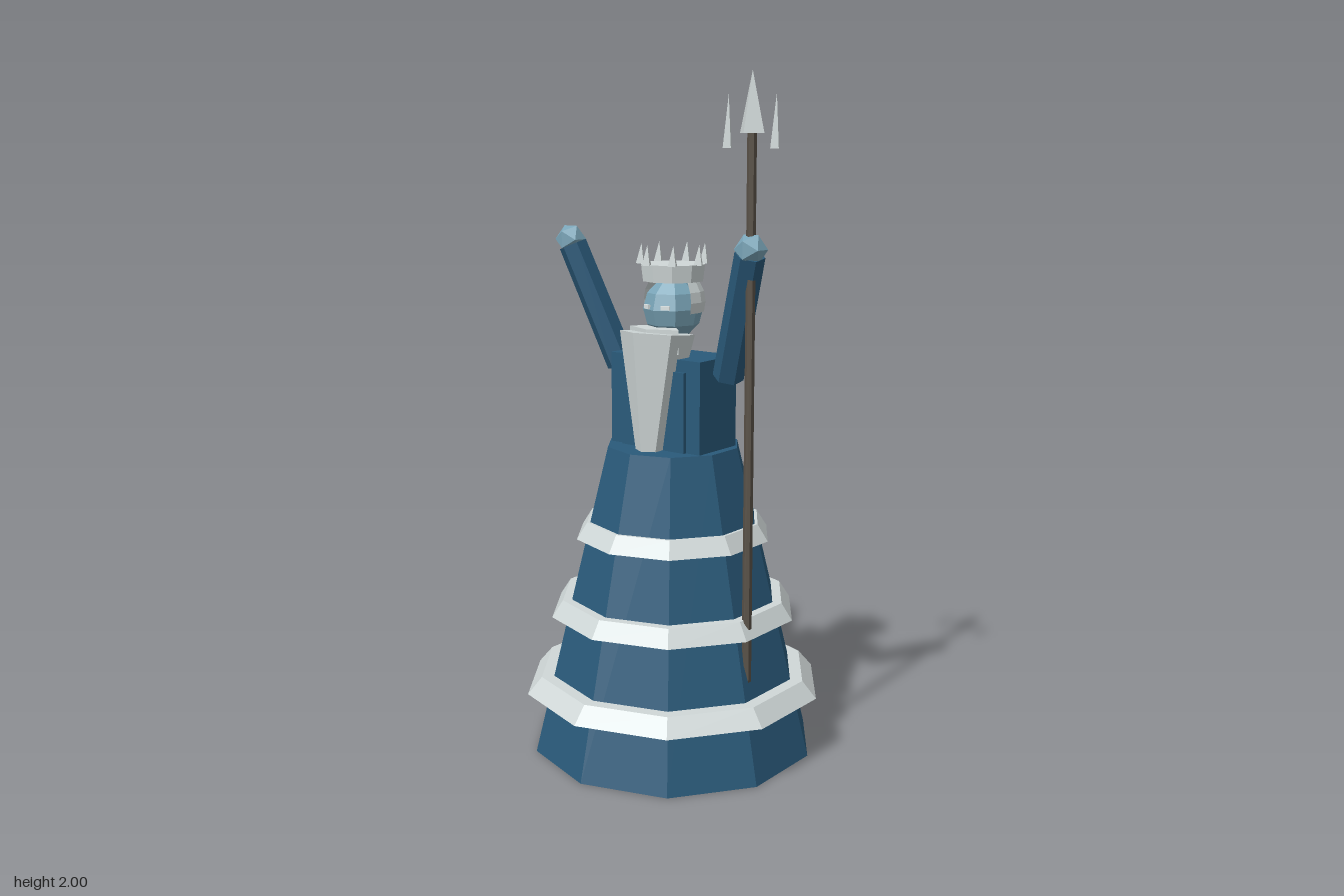
import * as THREE from 'three';

const mat = (name, color, extra = {}) =>
  Object.assign(new THREE.MeshStandardMaterial({ color, flatShading: true, ...extra }), { name });

export function createModel() {
  const model = new THREE.Group();
  model.name = 'seaKing';
  const robe = mat('deep sea blue', 0x2a5a7a);
  const skin = mat('pale blue skin', 0x7aa5b8);
  const foam = mat('foam grey', 0xd0d8d8, { side: THREE.DoubleSide });
  const wood = mat('dark shaft', 0x5a5248);
  const eyeWhite = mat('eye white', 0xe8f0f0);

  const add = (name, geo, material, x = 0, y = 0, z = 0, parent = model) => {
    const m = new THREE.Mesh(geo, material);
    m.name = name;
    m.position.set(x, y, z);
    parent.add(m);
    return m;
  };

  // Faceted tapered rod between two points
  const rod = (name, a, b, ra, rb, sides, material) => {
    const from = new THREE.Vector3(...a), to = new THREE.Vector3(...b);
    const dir = to.clone().sub(from);
    const m = add(name, new THREE.CylinderGeometry(rb, ra, dir.length(), sides), material);
    m.position.copy(from).add(to).multiplyScalar(0.5);
    m.quaternion.setFromUnitVectors(new THREE.Vector3(0, 1, 0), dir.normalize());
    return m;
  };

  // Wide ten-sided skirt with three foam rings
  add('skirt', new THREE.CylinderGeometry(0.2, 0.43, 0.93, 10), robe, 0, 0.465, 0);
  for (const [y, top, bottom] of [[0.21, 0.41, 0.453], [0.445, 0.342, 0.375], [0.68, 0.265, 0.297]]) {
    add('foamRing', new THREE.CylinderGeometry(top, bottom, 0.05, 10), foam, 0, y, 0);
  }

  // Torso with a raised front panel
  add('torso', new THREE.BoxGeometry(0.33, 0.28, 0.175), robe, 0, 1.06, 0);
  add('chestPanel', new THREE.BoxGeometry(0.23, 0.235, 0.012), robe, 0, 1.0475, 0.092);

  // Head, eyes and hair wrapped round the back
  add('neck', new THREE.CylinderGeometry(0.045, 0.045, 0.1, 8), skin, 0, 1.23, 0);
  const head = add('head', new THREE.SphereGeometry(0.085, 8, 6), skin, 0, 1.335, 0);
  head.scale.set(1, 1.08, 1.1);
  for (const side of [-1, 1]) {
    const eye = add('eye', new THREE.BoxGeometry(0.026, 0.012, 0.009), eyeWhite, side * 0.033, 1.343, 0.079);
    eye.rotation.y = side * 0.43;
  }
  const hair = new THREE.SphereGeometry(0.098, 8, 4, Math.PI - 0.3, Math.PI + 0.6, 0.2 * Math.PI, 0.4 * Math.PI);
  add('hair', hair, foam, 0, 1.355, 0).scale.x = 0.94;

  // Long tapering beard and the whiskers along the jaw
  rod('beard', [0, 0.85, 0.117], [0, 1.27, 0.075], 0.028, 0.11, 6, foam);
  add('jawWhiskers',
    new THREE.CylinderGeometry(0.127, 0.127, 0.07, 2, 1, false, -Math.PI / 4, Math.PI / 2),
    foam, 0, 1.25, 0);

  // Crown with seven spikes
  add('crown', new THREE.CylinderGeometry(0.097, 0.091, 0.05, 10), foam, 0, 1.44, 0);
  for (let i = 0; i < 7; i++) {
    const a = (i / 7) * Math.PI * 2;
    const spike = add('crownSpike', new THREE.ConeGeometry(0.017, 0.06, 3), foam,
      Math.cos(a) * 0.095, 1.493, Math.sin(a) * 0.095);
    spike.rotation.y = Math.PI;
  }

  // Raised arms and fists
  for (const side of [-1, 1]) {
    const label = side > 0 ? 'left' : 'right';
    rod(label + 'Arm', [side * 0.2, 1.15, 0], [side * 0.325, 1.51, 0.075], 0.045, 0.043, 6, robe);
    add(label + 'Hand', new THREE.IcosahedronGeometry(0.047, 0), skin, side * 0.33, 1.525, 0.078);
  }

  // Trident held in the left hand
  add('tridentShaft', new THREE.CylinderGeometry(0.013, 0.014, 1.6, 6), wood, 0.33, 1.05, 0.078);
  add('tridentPoint', new THREE.ConeGeometry(0.04, 0.165, 4), foam, 0.33, 1.9175, 0.078);
  for (const side of [-1, 1]) {
    const prong = add('tridentProng', new THREE.ConeGeometry(0.016, 0.145, 3), foam,
      0.33 + side * 0.078, 1.8675, 0.078);
    prong.rotation.y = Math.PI;
  }

  return model;
}
